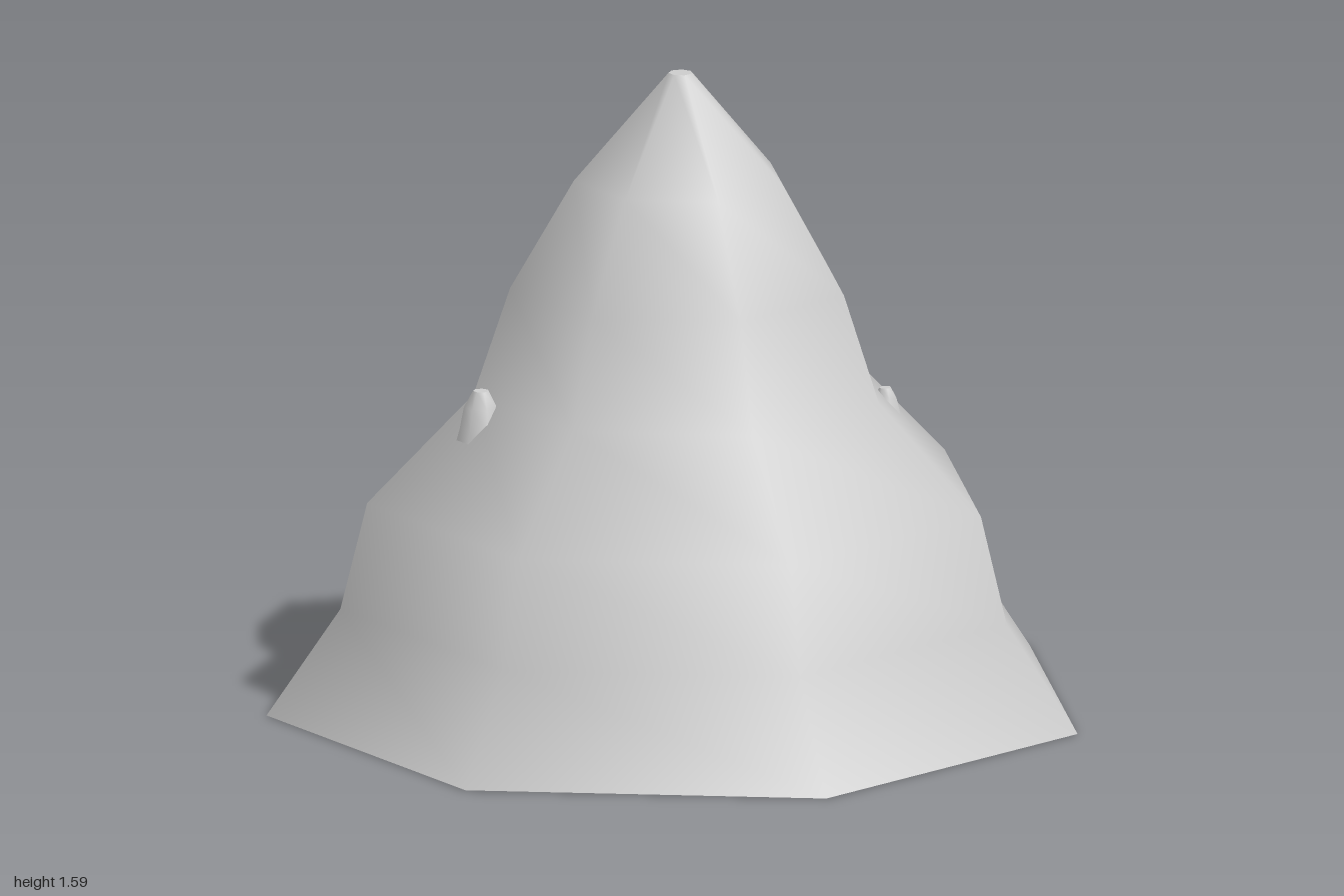
import * as THREE from 'three';

const SIDES = 7;
const material = new THREE.MeshStandardMaterial({ color: 0xcccccc });

// Seven-sided peak: smooth walls from a [radius, y] profile plus flat end caps
function makePeak(name, profile) {
  const peak = new THREE.Group();
  peak.name = name;
  const points = profile.map(([r, y]) => new THREE.Vector2(r, y));
  const walls = new THREE.Mesh(new THREE.LatheGeometry(points, SIDES, Math.PI / 2), material);
  walls.name = name + 'Walls';
  peak.add(walls);

  const addCap = (capName, [r, y], up) => {
    const geometry = new THREE.CircleGeometry(r, SIDES);
    geometry.rotateX(up ? -Math.PI / 2 : Math.PI / 2);
    geometry.translate(0, y, 0);
    const cap = new THREE.Mesh(geometry, material);
    cap.name = name + capName;
    peak.add(cap);
  };
  addCap('Base', profile[0], false);
  addCap('Tip', profile[profile.length - 1], true);
  return peak;
}

export function createModel() {
  const model = new THREE.Group();
  model.name = 'mountain';

  // Main mountain with stepped slopes
  const main = makePeak('mainPeak', [
    [1.02, 0.008], [0.838, 0.27], [0.772, 0.535], [0.51, 0.80],
    [0.42, 1.065], [0.263, 1.33], [0.03, 1.594],
  ]);
  main.position.x = -0.05;
  model.add(main);

  // Side peaks, mostly buried, with only their tips breaking the slopes
  const right = makePeak('rightSidePeak', [
    [0.15, 0.008], [0.13, 0.28], [0.10, 0.55], [0.052, 0.735], [0.042, 0.79], [0.02, 0.83],
  ]);
  right.position.set(-0.475, 0, 0.292);
  right.rotation.z = -0.01;
  model.add(right);

  const left = makePeak('leftSidePeak', [
    [0.15, 0.01], [0.13, 0.25], [0.09, 0.5], [0.04, 0.69], [0.028, 0.74], [0.015, 0.765],
  ]);
  left.position.set(0.4, 0, -0.29);
  left.rotation.z = 0.025;
  model.add(left);

  return model;
}
